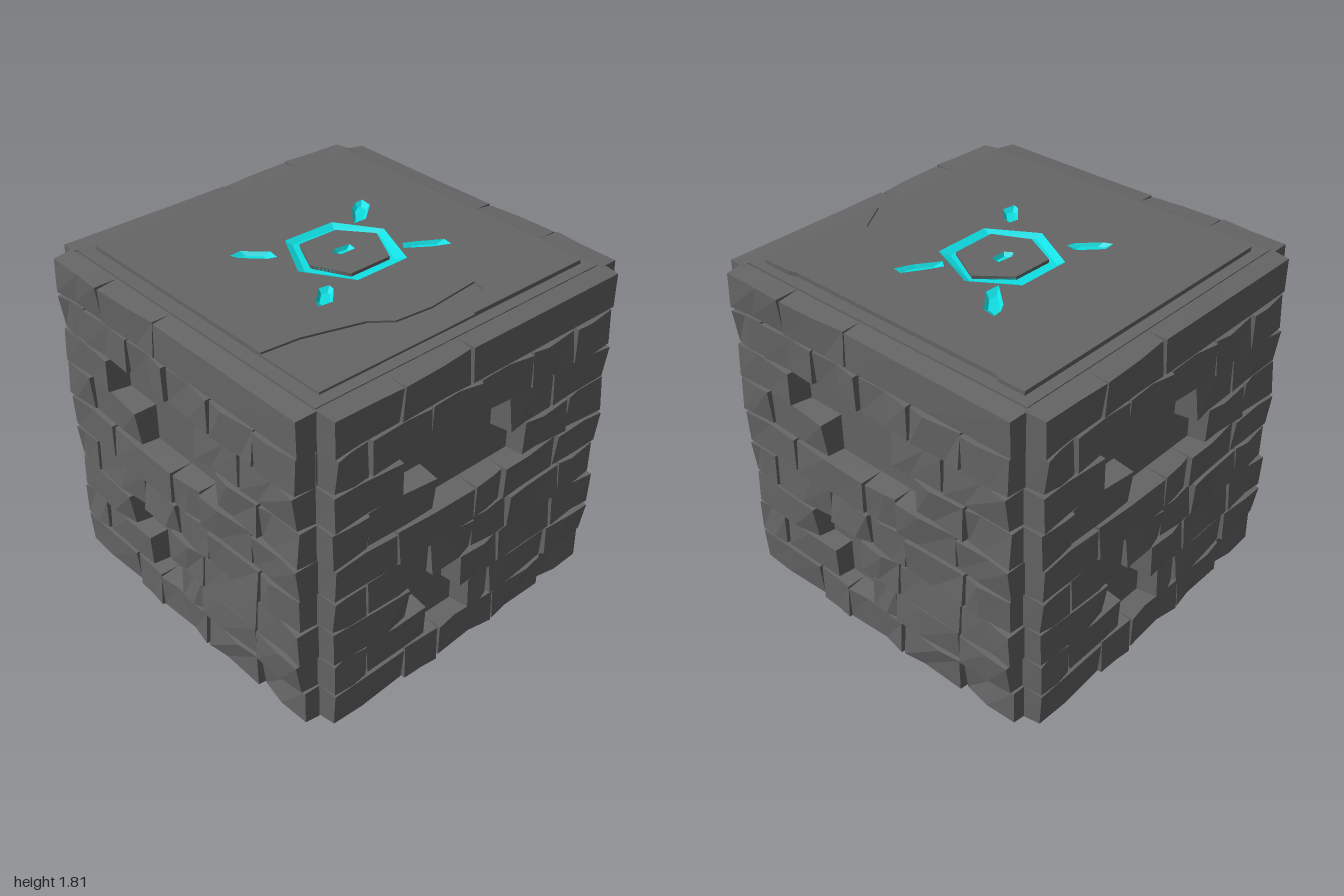
import * as THREE from 'three';
import { mergeGeometries } from 'three/addons/utils/BufferGeometryUtils.js';

const stone = new THREE.MeshStandardMaterial({ color: 0x666666, flatShading: true, side: THREE.DoubleSide });
stone.name = 'stone grey';
const glow = new THREE.MeshStandardMaterial({ color: 0x10e0e4, flatShading: true, side: THREE.DoubleSide });
glow.name = 'rune cyan';

const TOP = 1.81, FLOOR = 1.793, CORE = 0.87;

let seed = 7;
const rnd = () => (seed = (seed * 16807) % 2147483647) / 2147483647;
const vary = (a) => (rnd() - 0.5) * 2 * a;

// Brick courses from the top: [upper y, lower y, spans of x, optional depth]
const courses = [
  [1.78, 1.595, [[-0.87, -0.5], [-0.49, -0.08], [-0.07, 0.9]]],
  [1.585, 1.4, [[-0.86, -0.67], [-0.66, -0.31], [-0.3, -0.01], [0, 0.32], [0.33, 0.62], [0.63, 0.89]]],
  [1.39, 1.205, [[-0.87, -0.48], [0.2, 0.5], [0.51, 0.89]]],
  [1.195, 1.005, [[-0.88, -0.67], [-0.66, -0.27], [0.33, 0.63], [0.64, 0.9]]],
  [0.995, 0.81, [[-0.87, -0.5], [-0.49, -0.01], [0, 0.19], [0.2, 0.57], [0.58, 0.9]]],
  [0.8, 0.615, [[-0.87, -0.68], [-0.67, -0.28], [-0.27, 0], [0.01, 0.24], [0.25, 0.62], [0.63, 0.89]]],
  [0.605, 0.415, [[-0.87, -0.41], [-0.07, 0.19], [0.2, 0.59], [0.6, 0.9]]],
  [0.405, 0.225, [[-0.87, -0.67], [-0.66, -0.28], [0, 0.15], [0.16, 0.57], [0.58, 0.89]]],
  [0.215, 0.02, [[-0.87, -0.42], [-0.41, -0.2], [-0.19, 0.19], [0.2, 0.57], [0.58, 0.9, 0.95]]],
];

// One rough-cut brick: wide at the back so neighbours touch, front corners tilted
function brick(x0, x1, y0, y1, depth) {
  const g = new THREE.BoxGeometry(1, 1, 1, 2, 1, 1);
  const p = g.attributes.position;
  const moved = {};
  for (let i = 0; i < p.count; i++) {
    const sx = p.getX(i), sy = p.getY(i), sz = p.getZ(i);
    const key = `${sx},${sy},${sz}`;
    if (!moved[key]) {
      const front = sz > 0;
      const inset = front ? rnd() * 0.005 : -0.005;
      const mid = sx === 0 ? vary(0.2) * (x1 - x0) : 0;
      moved[key] = [
        (x0 + x1) / 2 + sx * (x1 - x0 - 2 * inset) + mid,
        (y0 + y1) / 2 + sy * (y1 - y0 - 2 * inset),
        front ? depth + vary(0.016) : CORE + 0.002,
      ];
    }
    p.setXYZ(i, ...moved[key]);
  }
  g.computeVertexNormals();
  return g;
}

function wallGeometry() {
  const parts = [];
  for (const [y1, y0, spans] of courses)
    for (const [x0, x1, depth = 0.98] of spans) {
      const sunk = x0 === -0.41 && y0 === 0.02 ? 0.015 : 0;
      parts.push(brick(x0, x1, y0 - sunk, y1, depth));
    }
  return mergeGeometries(parts);
}

// Outlines are listed as [x, z]
const square = (r) => [[-r, -r], [r, -r], [r, r], [-r, r]];
const toPath = (pts, Kind = THREE.Path) => new Kind(pts.map(([x, z]) => new THREE.Vector2(x, -z)));

function slab(outline, holes, y0, y1) {
  const shape = toPath(outline, THREE.Shape);
  shape.holes = holes.map((h) => toPath(h));
  const g = new THREE.ExtrudeGeometry(shape, { depth: y1 - y0, bevelEnabled: false });
  return g.rotateX(-Math.PI / 2).translate(0, y0, 0);
}

// Skin closed loops of equal length; each loop is [outline, y]
function loft(loops) {
  const n = loops[0][0].length, pos = [], idx = [];
  for (const [pts, y] of loops) for (const [x, z] of pts) pos.push(x, y, z);
  for (let l = 0; l < loops.length - 1; l++)
    for (let i = 0; i < n; i++) {
      const a = l * n + i, b = l * n + ((i + 1) % n);
      idx.push(a, a + n, b, b, a + n, b + n);
    }
  const g = new THREE.BufferGeometry();
  g.setAttribute('position', new THREE.Float32BufferAttribute(pos, 3));
  g.setIndex(idx);
  g.computeVertexNormals();
  return g;
}

function shrink(pts, k) {
  const c = [0, 1].map((a) => pts.reduce((s, p) => s + p[a], 0) / pts.length);
  return pts.map((p) => p.map((v, a) => c[a] + (v - c[a]) * k));
}

export function createModel() {
  const model = new THREE.Group();
  model.name = 'runeStoneBlock';
  const add = (name, geometry, material = stone) => {
    const m = new THREE.Mesh(geometry, material);
    m.name = name;
    model.add(m);
    return m;
  };

  // Hollow shell behind the bricks, open at the bottom
  add('coreShell', loft([[square(CORE), 0.03], [square(CORE), 1.77]]));

  // The same brick wall on all four sides
  const wall = wallGeometry();
  ['frontWall', 'leftWall', 'backWall', 'rightWall'].forEach((name, i) => {
    const shifted = wall.clone().translate(i === 0 ? 0 : -0.02, 0, i % 2 ? 0.006 : 0);
    add(name, shifted).rotation.y = (i * Math.PI) / 2;
  });

  // Rune outlines
  const ringOuter = [[-0.24, 0.02], [-0.095, -0.25], [0.2, -0.245], [0.345, -0.025], [0.225, 0.26], [-0.09, 0.262]];
  const ringMid = [[-0.2, 0.02], [-0.075, -0.215], [0.18, -0.207], [0.31, -0.022], [0.195, 0.21], [-0.075, 0.212]];
  const ringInner = [[-0.16, 0.015], [-0.065, -0.177], [0.16, -0.172], [0.287, -0.015], [0.175, 0.195], [-0.07, 0.197]];
  const rays = [
    [[-0.385, -0.305], [-0.32, -0.31], [-0.215, -0.21], [-0.225, -0.15], [-0.27, -0.165], [-0.365, -0.26]],
    [[0.48, -0.33], [0.47, -0.26], [0.35, -0.16], [0.27, -0.165], [0.38, -0.295], [0.43, -0.325]],
    [[0.28, 0.18], [0.31, 0.14], [0.37, 0.17], [0.49, 0.245], [0.48, 0.3], [0.395, 0.26]],
    [[-0.215, 0.21], [-0.225, 0.25], [-0.3, 0.33], [-0.375, 0.32], [-0.36, 0.28], [-0.27, 0.2]],
  ];
  const eye = [[-0.005, -0.01], [0.03, -0.03], [0.115, -0.02], [0.105, 0.03], [0.02, 0.03]];

  // Lid: raised plate with the rune cut out, and one worn, lower corner
  const crack = [[-0.8, 0.44], [-0.6, 0.46], [-0.3, 0.55], [-0.2, 0.63], [0, 0.65], [0.3, 0.62], [0.28, 0.7], [0.1, 0.81]];
  const plate = [[-0.8, -0.81], [0.82, -0.81], [0.82, -0.67], [0.805, -0.64], [0.805, 0.6], [0.82, 0.65], [0.82, 0.81],
    ...[...crack].reverse()];
  add('lidPlate', slab(plate, [ringOuter, ...rays], 1.765, TOP));
  add('lidCentre', slab(ringInner, [eye], 1.765, TOP));
  add('wornCorner', slab([...crack, [-0.8, 0.81]], [], 1.765, 1.8));
  add('lidRim', slab(square(CORE), [[[-0.79, -0.8], [0.8, -0.8], [0.8, 0.8], [-0.79, 0.8]]], 1.76, 1.788));

  // Glowing grooves of the rune
  add('runeRing', loft([[ringOuter, TOP], [ringMid, FLOOR], [ringInner, FLOOR], [ringInner, TOP]]), glow);
  const groove = (pts) => loft([[pts, TOP], [shrink(pts, 0.6), FLOOR], [shrink(pts, 0), FLOOR]]);
  rays.forEach((r, i) => add(`runeRay${i + 1}`, groove(r), glow));
  add('runeEye', groove(eye), glow);

  return model;
}
